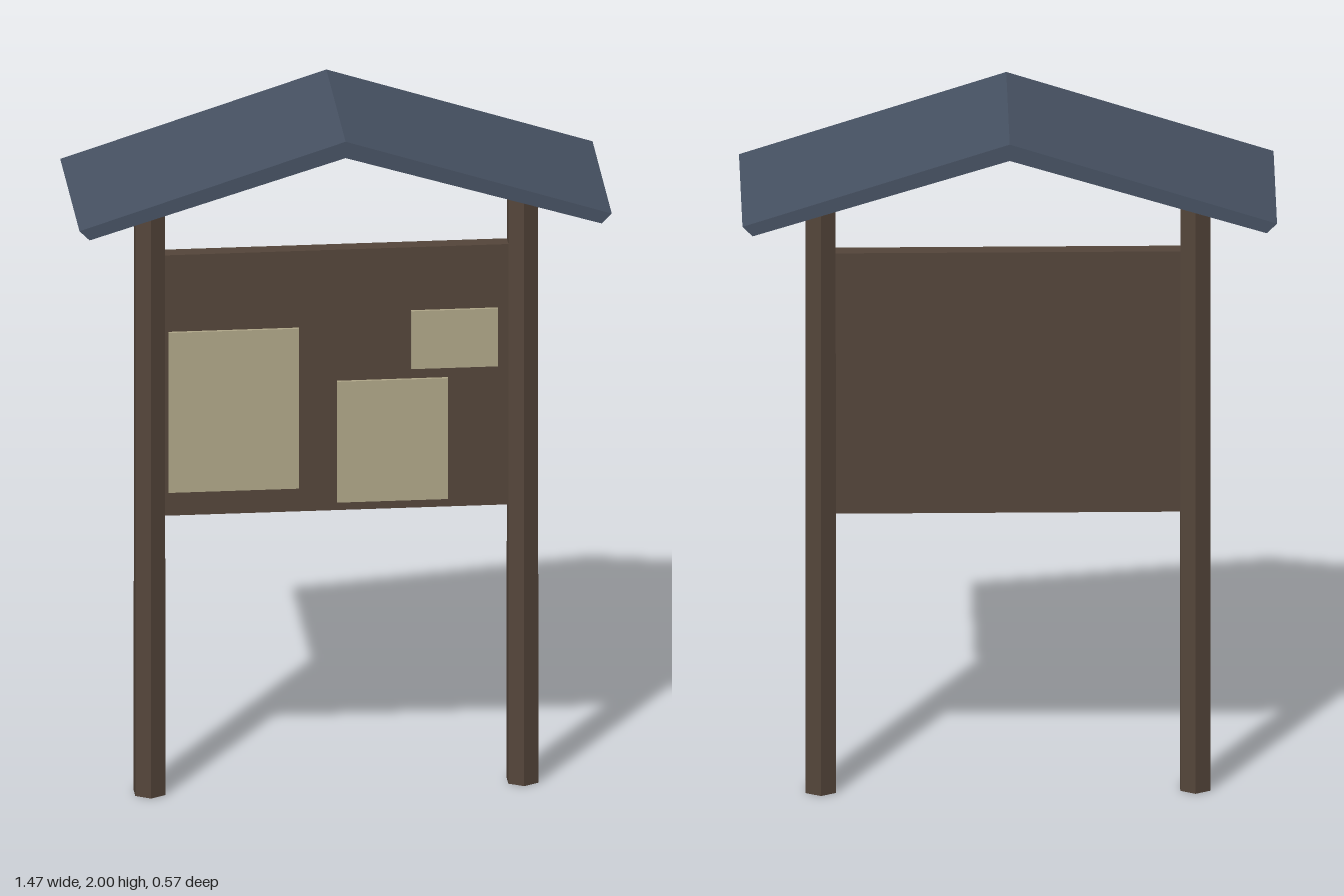
import * as THREE from 'three';

export function createModel() {
  const model = new THREE.Group();
  model.name = 'noticeBoard';

  const material = (name, color) => {
    const m = new THREE.MeshStandardMaterial({ color, flatShading: true });
    m.name = name;
    return m;
  };
  const wood = material('dark wood', 0x54453a);
  const slate = material('slate blue', 0x465162);
  const paper = material('aged paper', 0xafa688);

  const add = (name, geometry, mat, x, y, z) => {
    const mesh = new THREE.Mesh(geometry, mat);
    mesh.name = name;
    mesh.position.set(x, y, z);
    model.add(mesh);
    return mesh;
  };

  // Hexagonal posts, flat faces towards the sides
  const postHeight = 1.8;
  for (const [name, side] of [['leftPost', 1], ['rightPost', -1]]) {
    add(name, new THREE.CylinderGeometry(0.047, 0.048, postHeight, 6), wood, side * 0.515, postHeight / 2, 0);
  }

  // Panel running through both posts
  const depth = 0.045;
  add('board', new THREE.BoxGeometry(1.11, 0.765, depth), wood, 0, 1.2025, 0);

  // Pinned notices: left, right, bottom, top
  const notices = [
    [-0.465, -0.105, 0.89, 1.36],
    [0.0, 0.307, 0.845, 1.2],
    [0.205, 0.445, 1.23, 1.4],
  ];
  const thickness = 0.009;
  notices.forEach(([x0, x1, y0, y1], i) => {
    add(`notice${i + 1}`, new THREE.BoxGeometry(x1 - x0, y1 - y0, thickness), paper,
      (x0 + x1) / 2, (y0 + y1) / 2, (depth + thickness) / 2);
  });

  // Gabled roof, extruded front to back
  const profile = new THREE.Shape([
    [0, 2.0], [-0.735, 1.763], [-0.707, 1.735], [0, 1.952], [0.707, 1.735], [0.735, 1.763],
  ].map(([x, y]) => new THREE.Vector2(x, y)));
  const roofDepth = 0.566;
  add('roof', new THREE.ExtrudeGeometry(profile, { depth: roofDepth, bevelEnabled: false }),
    slate, 0, 0, -roofDepth / 2);

  return model;
}
